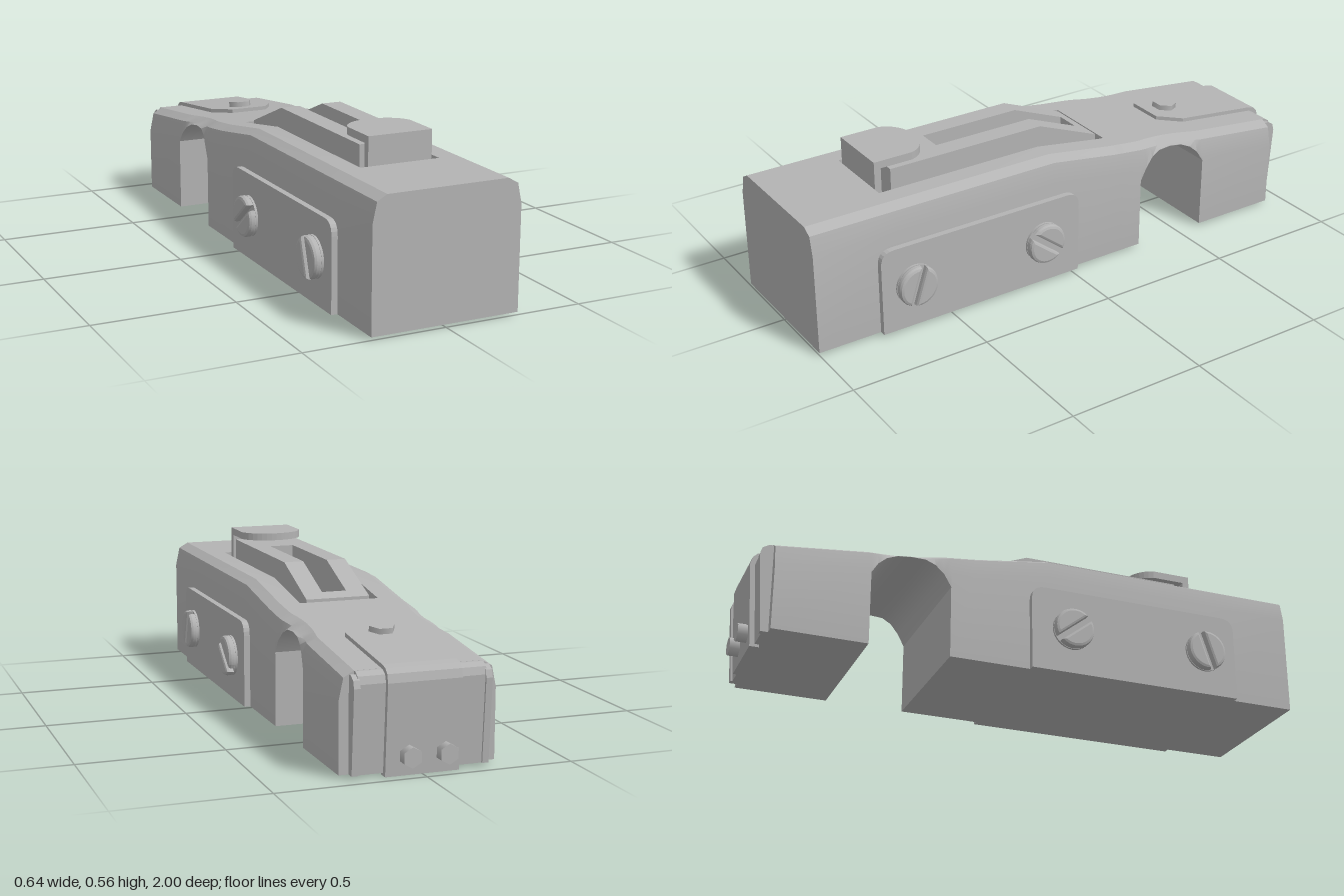
import * as THREE from 'three';
import { toCreasedNormals } from 'three/addons/utils/BufferGeometryUtils.js';

const metal = new THREE.MeshStandardMaterial({ color: 0xb3b3b3 });
metal.name = 'grey metal';

function add(parent, name, geometry, x = 0, y = 0, z = 0) {
  const mesh = new THREE.Mesh(geometry, metal);
  mesh.name = name;
  mesh.position.set(x, y, z);
  parent.add(mesh);
  return mesh;
}

const polygon = (pts) => new THREE.Shape(pts.map((p) => new THREE.Vector2(p[0], p[1])));

// Side profile given as [z, y], extruded across x from x0 to x1
function sideProfile(pts, x0, x1) {
  const g = new THREE.ExtrudeGeometry(polygon(pts.map(([z, y]) => [-z, y])), { depth: x1 - x0, bevelEnabled: false });
  return g.rotateY(Math.PI / 2).translate(x0, 0, 0);
}

// Plan outline given as [x, z], extruded upwards
function planPlate(shape, thickness) {
  const g = new THREE.ExtrudeGeometry(shape, { depth: thickness, bevelEnabled: false, curveSegments: 16 });
  return g.rotateX(-Math.PI / 2);
}

// Height of the top surface along the body
function topY(z) {
  if (z > 0.06) return 0.46;
  if (z > -0.2) return 0.42 + 0.04 * (z + 0.2) / 0.26;
  return 0.42 + 0.085 * (z + 0.2) / 0.75;
}

// Cross-section with chamfered shoulders and an optional notch in the top
function section(z, bottom, halfWidth, floor) {
  const top = topY(z);
  const f = floor ?? top;
  const half = [
    [halfWidth, bottom],
    [halfWidth, Math.max(top - 0.09, bottom + 0.001)],
    [halfWidth - 0.015, Math.max(top - 0.02, bottom + 0.003)],
    [halfWidth - 0.05, top],
    [0.145, top],
    [0.145, f],
  ];
  const left = half.map(([x, y]) => [-x, y]).reverse();
  return [...half, ...left].map(([x, y]) => new THREE.Vector3(x, y, z));
}

function bodyGeometry() {
  const W = 0.265, B = 0.01, F = 0.39;
  // z, underside height, half width, recess floor
  const rows = [
    [1, B, W], [0.69, B, W], [0.69, B, W, F], [0.06, B, W, F], [-0.2, B, W, F], [-0.225, B, W, F],
    [-0.225, B, W], [-0.31, B, W], [-0.31, 0.27, W], [-0.335, 0.315, 0.263], [-0.365, 0.348, 0.257],
    [-0.4, 0.365, 0.252], [-0.45, 0.367, 0.249], [-0.5, 0.36, 0.251], [-0.54, 0.342, 0.256],
    [-0.57, 0.315, 0.261], [-0.595, 0.275, W], [-0.595, B, W], [-0.925, B, W],
  ];
  const rings = rows.map((r) => section(...r));
  const pos = [];
  const tri = (a, b, c) => {
    const n = b.clone().sub(a).cross(c.clone().sub(a));
    if (n.length() > 1e-8) for (const p of [a, b, c]) pos.push(p.x, p.y, p.z);
  };
  const n = rings[0].length;
  const first = rings[0], last = rings[rings.length - 1];
  const c0 = new THREE.Vector3(0, 0.2, 1), c1 = new THREE.Vector3(0, 0.15, -0.925);
  for (let i = 0; i < n; i++) {
    const j = (i + 1) % n;
    for (let k = 0; k < rings.length - 1; k++) {
      const a = rings[k], b = rings[k + 1];
      tri(a[i], b[i], b[j]);
      tri(a[i], b[j], a[j]);
    }
    tri(c0, first[i], first[j]);
    tri(c1, last[j], last[i]);
  }
  const g = new THREE.BufferGeometry();
  g.setAttribute('position', new THREE.Float32BufferAttribute(pos, 3));
  return toCreasedNormals(g, 0.45);
}

// Slotted screw head facing +z: a round base and two bevelled half discs
function makeScrew(angle) {
  const screw = new THREE.Group();
  screw.name = 'slottedScrew';
  const base = new THREE.CylinderGeometry(0.073, 0.073, 0.03, 32).rotateX(Math.PI / 2);
  add(screw, 'screwBase', base, 0, 0, 0.015);
  const r = 0.062, gap = 0.019, a = Math.asin(gap / r);
  const half = new THREE.Shape();
  half.absarc(0, 0, r, a, Math.PI - a, false);
  half.closePath();
  const g = new THREE.ExtrudeGeometry(half, {
    depth: 0.012, bevelThickness: 0.011, bevelSize: 0.011, bevelSegments: 2, curveSegments: 20,
  });
  for (const turn of [0, Math.PI]) add(screw, 'screwHalf', g, 0, 0, 0.034).rotation.z = angle + turn;
  return screw;
}

function addSide(model, s) {
  // Side plate with rounded upper corners
  const r = 0.05, w = 0.395;
  const sh = new THREE.Shape();
  sh.moveTo(-w, 0.01);
  sh.lineTo(w, 0.01);
  sh.lineTo(w, 0.32 - r);
  sh.quadraticCurveTo(w, 0.32, w - r, 0.32);
  sh.lineTo(-w + r, 0.32);
  sh.quadraticCurveTo(-w, 0.32, -w, 0.32 - r);
  const plate = new THREE.ExtrudeGeometry(sh, { depth: 0.037, bevelEnabled: false, curveSegments: 6 });
  add(model, 'sidePlate', plate, s * 0.25, 0, 0.375).rotation.y = s * Math.PI / 2;
  // Two screws on each side
  for (const [z, degrees] of [[0.645, 72], [0.13, 142]]) {
    const screw = makeScrew(THREE.MathUtils.degToRad(s > 0 ? degrees : 180 - degrees));
    screw.position.set(s * 0.265, 0.17, z);
    screw.rotation.y = s * Math.PI / 2;
    model.add(screw);
  }
}

function addLever(model) {
  const lever = new THREE.Group();
  lever.name = 'lever';
  model.add(lever);
  // Two rails joined at the ends, leaving a long slot
  const rail = [[0.63, 0.38], [0.63, 0.52], [0.03, 0.52], [-0.21, 0.425], [-0.21, 0.38]];
  add(lever, 'leverRail', sideProfile(rail, 0.045, 0.117));
  add(lever, 'leverRail', sideProfile(rail, -0.117, -0.045));
  add(lever, 'leverBridge', new THREE.BoxGeometry(0.09, 0.14, 0.22), 0, 0.45, 0.52);
  const tail = [[-0.17, 0.38], [-0.17, 0.441], [-0.21, 0.425], [-0.21, 0.38]];
  add(lever, 'leverTail', sideProfile(tail, -0.045, 0.045));

  // Thumb catch: upright leg and an overhanging rounded top
  add(lever, 'catchLeg', new THREE.BoxGeometry(0.234, 0.16, 0.025), 0, 0.46, 0.6775);
  const top = new THREE.Shape();
  top.moveTo(-0.117, -0.69);
  top.lineTo(0.117, -0.69);
  top.lineTo(0.117, -0.545);
  top.bezierCurveTo(0.09, -0.445, -0.09, -0.445, -0.117, -0.545);
  add(lever, 'catchTop', planPlate(top, 0.027), 0, 0.533, 0);
}

function addRearEnd(model) {
  // Rounded rear cap with a raised rib on each side
  const cap = [[-0.86, 0.01], [-0.86, 0.34], [-0.935, 0.337], [-0.955, 0.325], [-0.963, 0.3], [-0.945, 0.01]];
  add(model, 'rearCap', sideProfile(cap, -0.215, 0.215));
  const rib = [[-0.9, 0.01], [-0.9, 0.325], [-0.94, 0.328], [-0.962, 0.315], [-0.97, 0.29], [-0.952, 0.01]];
  for (const x of [-0.232, 0.21]) add(model, 'rearRib', sideProfile(rib, x, x + 0.022));

  // Strap: a pointed plate lying on the sloping top, folded down the rear
  const outline = polygon([[-0.125, 0.93], [-0.125, 0.61], [-0.07, 0.525], [0.07, 0.525], [0.125, 0.61], [0.125, 0.93]]);
  const plate = planPlate(outline, 0.022);
  const p = plate.attributes.position;
  for (let i = 0; i < p.count; i++) p.setY(i, p.getY(i) - 0.008 + topY(p.getZ(i)));
  plate.computeVertexNormals();
  add(model, 'strapTop', plate);
  const yTop = topY(-0.93) + 0.014;
  const fold = [[-0.93, 0], [-0.93, yTop], [-0.955, yTop - 0.006], [-0.972, yTop - 0.022],
    [-0.98, yTop - 0.05], [-0.962, 0]];
  add(model, 'strapFold', sideProfile(fold, -0.125, 0.125));

  // Hexagonal bolts
  const bolt = add(model, 'topBolt', new THREE.CylinderGeometry(0.045, 0.045, 0.04, 6), 0, 0.386, -0.615);
  bolt.rotation.set(-0.113, Math.PI / 6, 0, 'XYZ');
  const hex = new THREE.CylinderGeometry(0.034, 0.034, 0.045, 6).rotateX(Math.PI / 2);
  for (const x of [-0.076, 0.048]) add(model, 'rearBolt', hex, x, 0.065, -0.9775);
}

export function createModel() {
  const model = new THREE.Group();
  model.name = 'clampBody';
  add(model, 'body', bodyGeometry());
  for (const s of [1, -1]) addSide(model, s);
  addLever(model);
  addRearEnd(model);
  return model;
}
